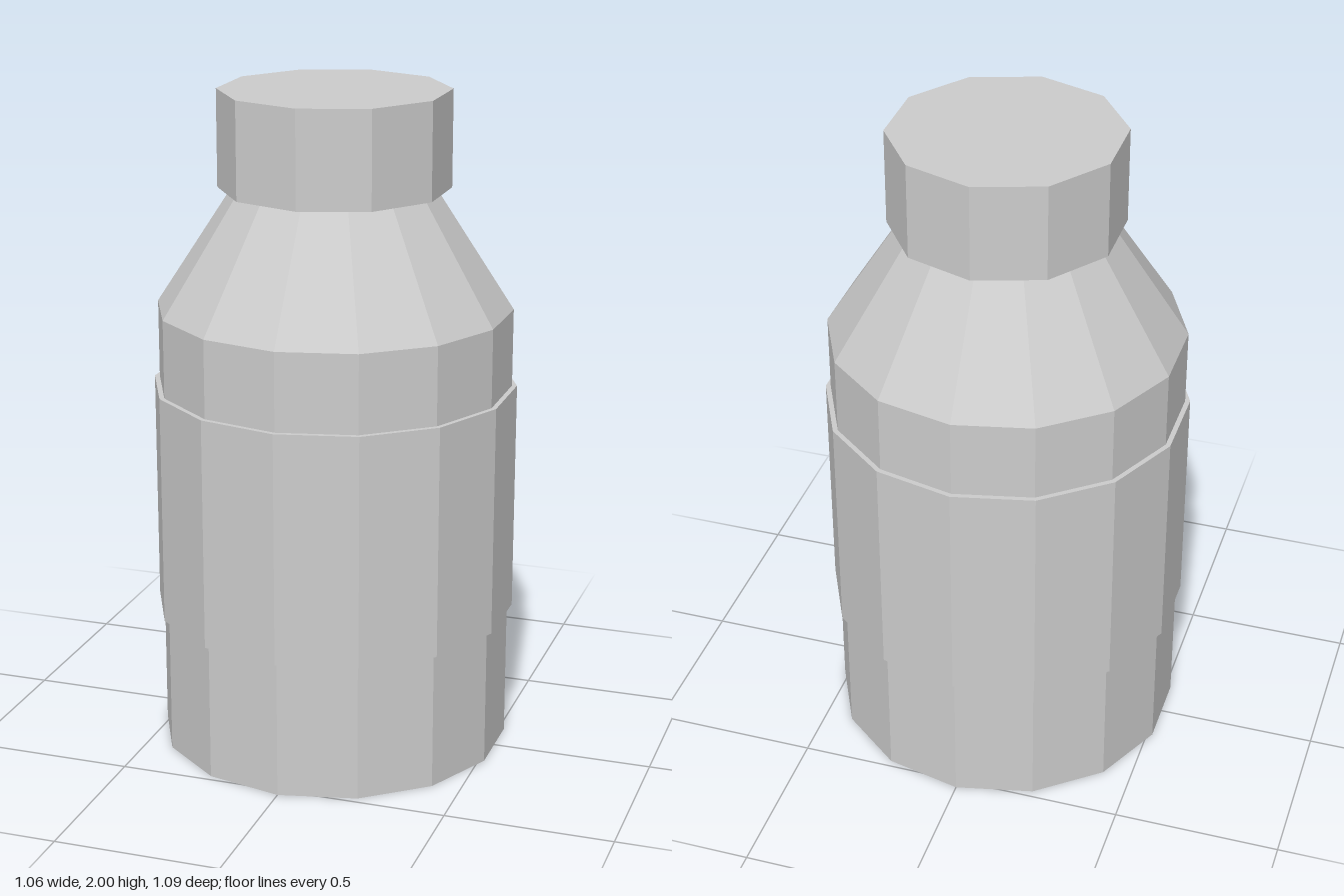
import * as THREE from 'three';

export function createModel() {
  const model = new THREE.Group();
  const grey = new THREE.MeshStandardMaterial({ color: 0xcccccc });
  grey.name = 'lightGrey';
  grey.flatShading = true;

  // Turns a bottom-to-top [radius, height] outline into a faceted part
  const turned = (name, sides, outline) => {
    const points = outline.map(([r, y]) => new THREE.Vector2(r, y));
    const mesh = new THREE.Mesh(new THREE.LatheGeometry(points, sides), grey);
    mesh.name = name;
    model.add(mesh);
  };

  // Bottle body with tapering shoulder
  turned('body', 14, [[0, 0], [0.53, 0], [0.53, 1.355], [0.3, 1.71]]);
  // Raised label band with narrow ledges
  turned('labelBand', 14, [[0.53, 0.42], [0.545, 0.42], [0.545, 1.12], [0.53, 1.12]]);
  // Ten-sided screw cap
  turned('cap', 10, [[0, 1.71], [0.343, 1.71], [0.343, 2], [0, 2]]);

  return model;
}
